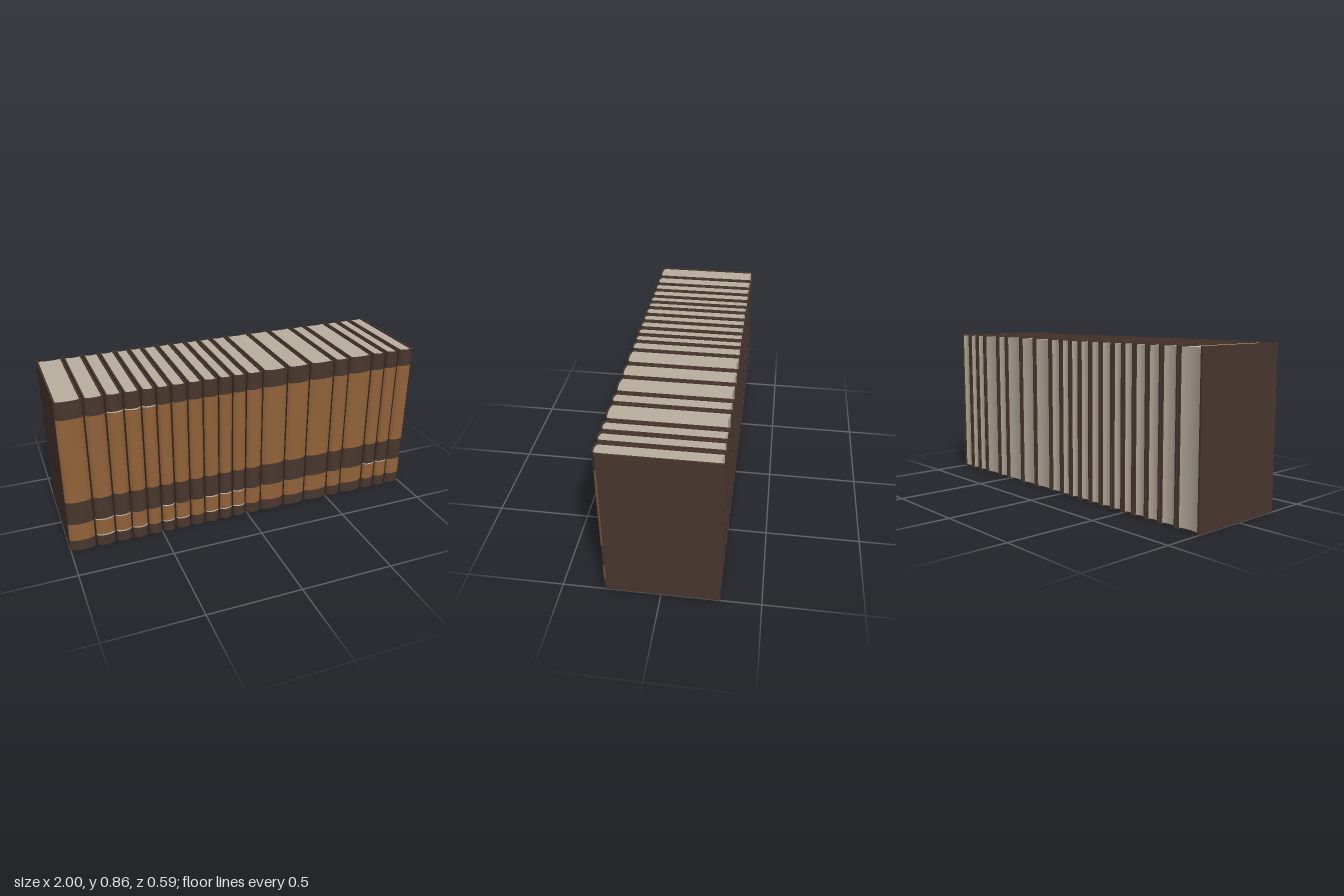
import * as THREE from 'three';
import { toCreasedNormals } from 'three/addons/utils/BufferGeometryUtils.js';

const HEIGHT = 0.86, BACK = -0.295, HINGE = 0.276, FRONT = 0.295;
const BOARD = 0.009, GAP = 0.008, INSET = 0.007;

// x positions where one book ends and the next begins
const EDGES = [-1, -0.86, -0.753, -0.662, -0.573, -0.495, -0.418, -0.331, -0.248, -0.163,
  -0.085, -0.007, 0.087, 0.23, 0.362, 0.508, 0.6, 0.743, 0.828, 0.91, 1];

// pale worn lines at the band borders: height and the books that have them
const LINES = [
  { y: 0.062, books: [1, 2, 3, 5, 6, 8, 9, 10] },
  { y: 0.16, books: [1, 2, 5, 8, 9, 10, 17, 18] },
  { y: 0.764, books: [2, 3, 4] },
];

export function createModel() {
  const mat = (name, color) => {
    const m = new THREE.MeshStandardMaterial({ color });
    m.name = name;
    return m;
  };
  const leather = mat('dark leather', 0x48362d);
  const tan = mat('tan leather', 0x916239);
  const paper = mat('paper', 0xb9ae9f);
  const pale = mat('pale line', 0xc9c0b4);

  const add = (group, name, geometry, material) => {
    const mesh = new THREE.Mesh(geometry, material);
    mesh.name = name;
    group.add(mesh);
    return mesh;
  };

  // extrude a plan shape (drawn with y = -z) upwards from y0 to y1
  const rise = (shape, y0, y1) => {
    const g = new THREE.ExtrudeGeometry(shape, { depth: y1 - y0, bevelEnabled: false, curveSegments: 10 });
    g.rotateX(-Math.PI / 2);
    g.translate(0, y0, 0);
    return toCreasedNormals(g, 0.6);
  };

  // rounded spine wall in plan, for half width h
  const spineShape = (h) => {
    const s = new THREE.Shape();
    const c = FRONT + (FRONT - HINGE) / 3, i = h - BOARD;
    s.moveTo(-h, -HINGE);
    s.bezierCurveTo(-h * 0.85, -c, h * 0.85, -c, h, -HINGE);
    s.lineTo(i, -HINGE);
    s.bezierCurveTo(i * 0.85, -c + BOARD, -i * 0.85, -c + BOARD, -i, -HINGE);
    s.closePath();
    return s;
  };

  // page block in plan: bulging at the spine, hollow at the fore edge
  const pageShape = (h) => {
    const s = new THREE.Shape();
    s.moveTo(-h, -HINGE);
    s.bezierCurveTo(-h * 0.85, -0.292, h * 0.85, -0.292, h, -HINGE);
    s.lineTo(h, -BACK - 0.008);
    s.quadraticCurveTo(0, -BACK - 0.024, -h, -BACK - 0.008);
    s.closePath();
    return s;
  };

  const bands = [
    [0, 0.062, leather], [0.062, 0.162, tan], [0.162, 0.295, leather],
    [0.295, 0.765, tan], [0.765, HEIGHT, leather],
  ];

  const row = new THREE.Group();
  row.name = 'bookRow';
  for (let b = 0; b < EDGES.length - 1; b++) {
    const x0 = EDGES[b] + (b === 0 ? 0 : GAP / 2);
    const x1 = EDGES[b + 1] - (b === EDGES.length - 2 ? 0 : GAP / 2);
    const h = (x1 - x0) / 2;
    const book = new THREE.Group();
    book.name = 'book' + (b + 1);
    book.position.x = (x0 + x1) / 2;

    // cover boards
    for (const side of [-1, 1]) {
      const board = add(book, side < 0 ? 'rightCover' : 'leftCover',
        new THREE.BoxGeometry(BOARD, HEIGHT, HINGE - BACK), leather);
      board.position.set(side * (h - BOARD / 2), HEIGHT / 2, (HINGE + BACK) / 2);
    }

    // page block
    add(book, 'pages', rise(pageShape(h - BOARD), INSET, HEIGHT - INSET), paper);

    // spine in coloured bands
    const spine = spineShape(h);
    for (const [y0, y1, m] of bands) add(book, 'spineBand', rise(spine, y0, y1), m);

    // thin pale lines just proud of the spine
    for (const { y, books } of LINES) {
      if (!books.includes(b)) continue;
      const line = add(book, 'spineLine', rise(spine, y, y + 0.006), pale);
      line.position.z = 0.001;
    }
    row.add(book);
  }
  return row;
}
